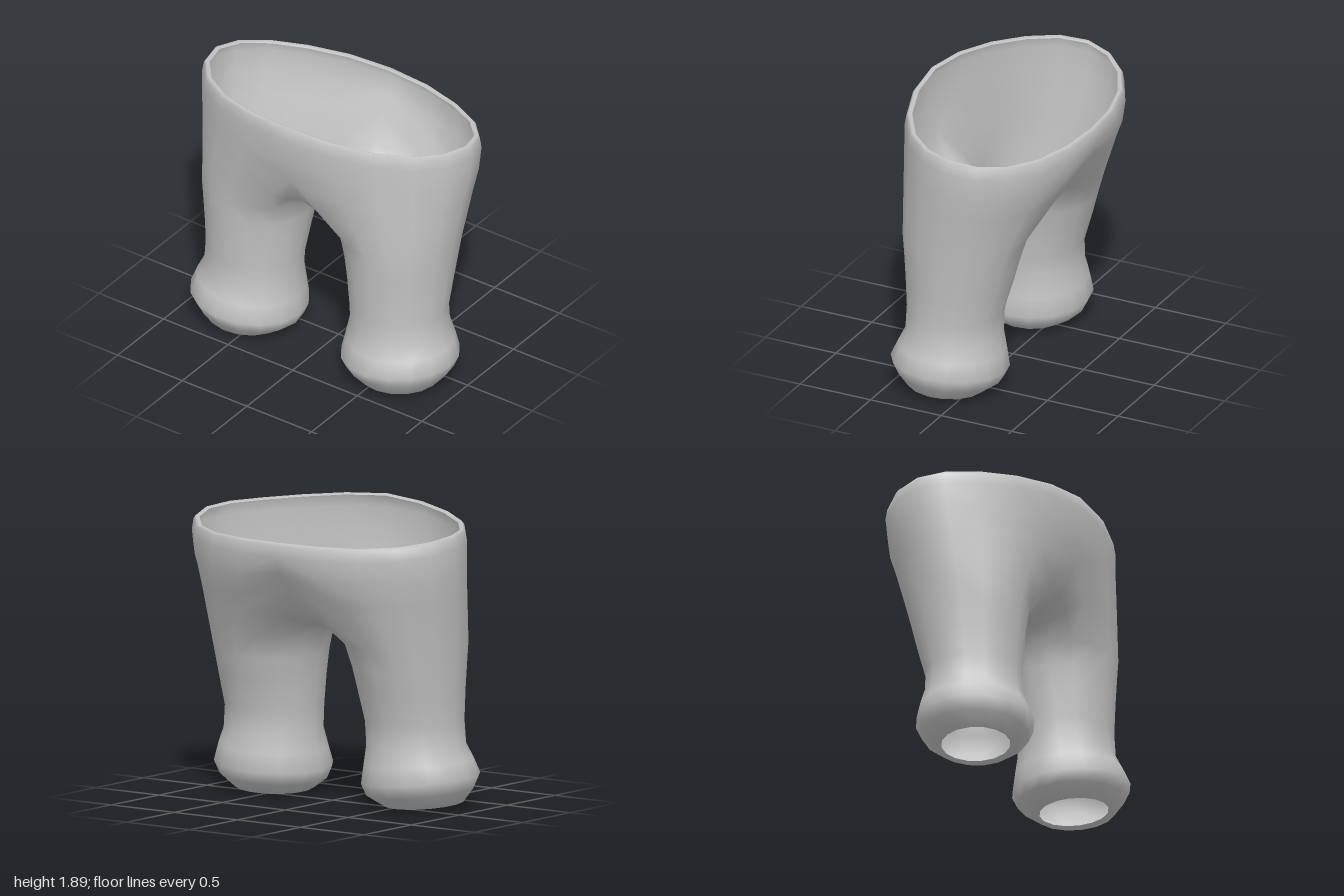
import * as THREE from 'three';
import { mergeVertices } from 'three/addons/utils/BufferGeometryUtils.js';

const SIDES = 16;   // columns around one leg
const OUTER = 10;   // columns 0..10 run from front centre round the hip to back centre
const RIM_HEIGHTS = [1.89, 1.872, 1.845, 1.822, 1.808, 1.79, 1.762, 1.735, 1.718, 1.716, 1.716];

const mix = (a, b, t, ty = t) => new THREE.Vector3(
  THREE.MathUtils.lerp(a.x, b.x, t), THREE.MathUtils.lerp(a.y, b.y, ty), THREE.MathUtils.lerp(a.z, b.z, t));
const range = (n) => Array.from({ length: n }, (_, i) => i);

// Leg cross-section: inner/outer x, back/front z, and a slight tilt
function legRing([y, x0, x1, z0, z1, tiltX = 0, tiltZ = 0]) {
  return range(SIDES).map((i) => {
    const a = (i - 1) * Math.PI * 2 / SIDES, s = Math.sin(a), c = Math.cos(a);
    return new THREE.Vector3((x0 + x1) / 2 + s * (x1 - x0) / 2, y + tiltX * s + tiltZ * c,
      (z0 + z1) / 2 + c * (z1 - z0) / 2);
  });
}

// Half of the waist oval, higher at the front and widest a little behind the middle
function waistRing(inset, drop) {
  return RIM_HEIGHTS.map((y, i) => {
    const a = i * Math.PI / OUTER, s = Math.sin(a);
    return new THREE.Vector3(i === OUTER ? 0 : s * (1 - inset), y - drop,
      Math.cos(a) * (0.598 - inset) - 0.04 * s * s);
  });
}

// Cross-sections of the left half, from the turned-in cuff to the turned-in waist
function halfRings() {
  const legs = [
    [0.035, 0.375, 0.815, -0.06, 0.38, 0.013, 0.012],
    [0.017, 0.34, 0.85, -0.08, 0.42, 0.013, 0.012],
    [0.10, 0.23, 0.93, -0.19, 0.485, 0.025, 0.015],
    [0.18, 0.20, 0.965, -0.23, 0.525, 0.03, 0.015],
    [0.29, 0.22, 0.93, -0.21, 0.48, 0.02, 0.01],
    [0.40, 0.24, 0.89, -0.185, 0.435],
    [0.55, 0.23, 0.88, -0.185, 0.43],
    [0.75, 0.205, 0.895, -0.245, 0.44],
    [0.90, 0.18, 0.91, -0.285, 0.45],
    [1.05, 0.14, 0.925, -0.33, 0.465],
  ].map(legRing);
  const thigh = legs[legs.length - 1];
  const band = waistRing(0, 0.09), edge = waistRing(0.012, 0.02);
  const rim = waistRing(0.028, 0), lip = waistRing(0.05, 0.012);

  // Crotch seam on the centre plane, back to front: [z, y]
  const seam = [[-0.48, 1.42], [-0.38, 1.25], [-0.2, 1.145], [0.03, 1.11], [0.25, 1.135], [0.42, 1.25], [0.525, 1.45]];
  const hip = thigh.map((p, i) => {
    const k = i === 0 ? 6 : i - OUTER;
    return k >= 0 ? new THREE.Vector3(0, seam[k][1], seam[k][0]) : mix(p, band[i], 0.55, 0.5);
  });
  // Rounded arch between the thighs
  const arch = thigh.map((p, i) => {
    const lift = i > OUTER ? 0.38 * Math.sin((i - OUTER) * Math.PI / 6) : 0;
    return mix(p, hip[i], 0.5, 0.5 + lift);
  });
  const belly = band.map((p, i) => mix(hip[i], p, 0.7, 0.5));
  return [...legs, arch, hip, belly, band, edge, rim, lip];
}

// Skin of both mirrored halves, welded along the centre
function skin() {
  const rings = halfRings(), pos = [];
  const tri = (a, b, c) => {
    for (const p of [a, b, c]) pos.push(p.x, p.y, p.z);
    for (const p of [a, c, b]) pos.push(-p.x, p.y, p.z);
  };
  for (let j = 0; j < rings.length - 1; j++) {
    const lo = rings[j], hi = rings[j + 1];
    const columns = hi.length === SIDES ? SIDES : OUTER;
    for (let i = 0; i < columns; i++) {
      const n = (i + 1) % lo.length;
      tri(lo[i], lo[n], hi[n]);
      tri(lo[i], hi[n], hi[i]);
    }
  }
  const geo = new THREE.BufferGeometry();
  geo.setAttribute('position', new THREE.Float32BufferAttribute(pos, 3));
  const welded = mergeVertices(geo, 1e-4);
  welded.computeVertexNormals();
  return welded;
}

export function createModel() {
  const cloth = new THREE.MeshStandardMaterial({ color: 0xc4c4c4, side: THREE.DoubleSide });
  cloth.name = 'light grey cloth';
  const trousers = new THREE.Mesh(skin(), cloth);
  trousers.name = 'trousers';
  const group = new THREE.Group();
  group.name = 'trousersModel';
  group.add(trousers);
  return group;
}
